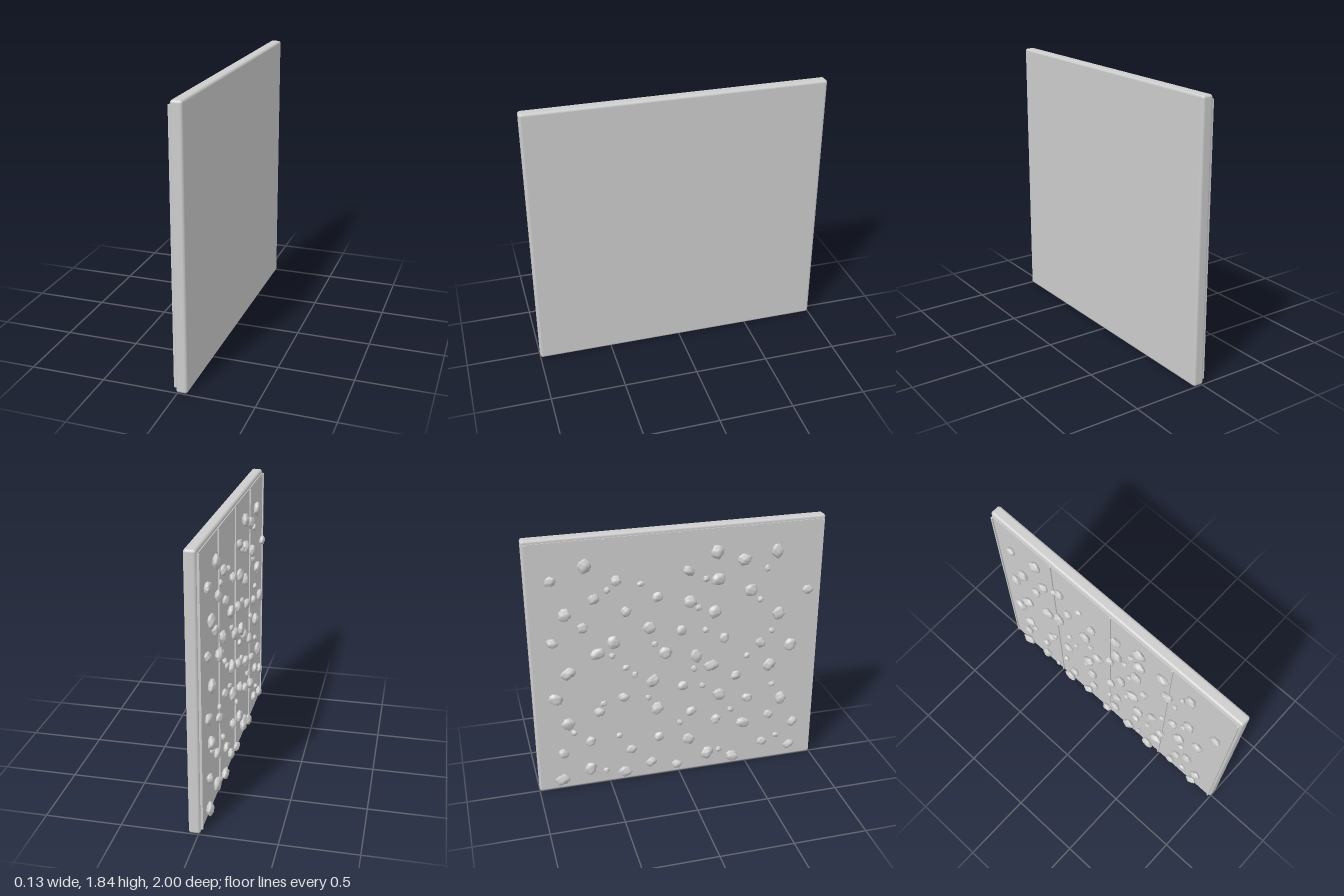
import * as THREE from 'three';
import { mergeVertices } from 'three/addons/utils/BufferGeometryUtils.js';
import { RoundedBoxGeometry } from 'three/addons/geometries/RoundedBoxGeometry.js';

// hold centres on the wall, as [z, y], grouped by size
const LARGE = [
  [.66, 1.63], [.25, 1.66], [.44, 1.59], [.26, 1.47], [.49, 1.37], [.69, 1.18], [-.62, 1.65], [.07, 1.33],
  [.24, 1.24], [.79, .93], [-.21, 1.18], [.64, .79], [-.76, 1.33], [-.45, 1.1], [-.1, .98], [.11, .93],
  [.22, .84], [.74, .51], [-.56, 1.03], [-.19, .78], [.28, .61], [-.76, .91], [-.16, .56], [.46, .35],
  [-.85, .73], [.06, .28], [.2, .14], [.39, .08], [-.78, .53], [-.64, .15], [-.4, .085], [-.84, .09],
];
const MEDIUM = [
  [.89, 1.33], [.06, 1.55], [-.42, 1.53], [-.15, 1.39], [.57, .97], [-.84, 1.57], [-.57, 1.42], [-.36, 1.31],
  [.01, 1.13], [.31, 1.04], [-.65, 1.23], [.4, .74], [-.85, 1.14], [.02, .71], [.49, .55], [.65, .39],
  [.84, .3], [-.39, .68], [.08, .5], [.26, .41], [.61, .17], [.82, .11], [-.56, .59], [-.15, .33],
  [-.63, .37], [-.35, .26], [-.21, .13], [-.02, .08], [-.82, .3],
];
const SMALL = [
  [.6, 1.51], [.18, 1.48], [.56, 1.29], [-.26, 1.49], [.13, 1.28], [.65, 1.05], [-.48, 1.47], [.18, 1.11],
  [.48, .88], [-.17, 1.05], [.1, .83], [.67, .63], [-.46, 1], [-.37, .9], [-.31, .84], [.16, .69],
  [.37, .47], [-.22, .65], [.72, .2], [-.53, .65], [0, .42], [.29, .15], [-.74, .45], [-.43, .38], [-.53, .11],
];

let seed = 11;
const rand = () => (seed = (seed * 16807) % 2147483647) / 2147483647;

// lumpy stone: a sphere pushed in and out by a few waves
function stoneGeometry(phase) {
  let g = new THREE.IcosahedronGeometry(1, 3);
  g.deleteAttribute('normal');
  g.deleteAttribute('uv');
  g = mergeVertices(g);
  const p = g.attributes.position;
  const v = new THREE.Vector3();
  for (let i = 0; i < p.count; i++) {
    v.fromBufferAttribute(p, i);
    const lump = Math.sin(3 * v.x + 2 * v.y + phase) * Math.cos(3 * v.z - 2 * v.y + 2 * phase);
    const ridge = Math.abs(Math.sin(4 * v.y + 3 * v.z + phase));
    v.multiplyScalar(0.94 + 0.12 * lump - 0.12 * ridge);
    p.setXYZ(i, v.x, v.y, v.z);
  }
  g.computeVertexNormals();
  return g;
}

export function createModel() {
  const model = new THREE.Group();
  const grey = new THREE.MeshStandardMaterial({ color: 0xcccccc });
  grey.name = 'plain grey';

  const add = (parent, name, geometry, x, y, z) => {
    const mesh = new THREE.Mesh(geometry, grey);
    mesh.name = name;
    mesh.position.set(x, y, z);
    parent.add(mesh);
    return mesh;
  };

  // thick backing slab with rounded edges
  add(model, 'backingSlab', new RoundedBoxGeometry(0.076, 1.84, 2, 4, 0.018), 0.026, 0.92, 0);

  // four climbing panels
  for (let i = 0; i < 4; i++) {
    add(model, 'wallPanel', new THREE.BoxGeometry(0.012, 1.79, 0.49), -0.012, 0.92, -0.735 + i * 0.49);
  }

  // raised vertical strips at the seams and both edges
  for (let i = 0; i < 5; i++) {
    add(model, 'seamStrip', new THREE.BoxGeometry(0.018, 1.78, 0.012), -0.018, 0.92, -0.98 + i * 0.49);
  }

  // stone holds
  const holds = new THREE.Group();
  holds.name = 'climbingHolds';
  model.add(holds);
  const stones = [0.4, 1.7, 2.9, 4.1, 5.3].map(stoneGeometry);
  const addHolds = (name, spots, depth, radius) => spots.forEach(([z, y], i) => {
    const hold = add(holds, name, stones[i % stones.length], -0.016 - depth * 0.87, y, z);
    const stretch = 0.9 + 0.25 * rand();
    hold.scale.set(depth, radius / stretch, radius * stretch);
    hold.rotation.x = (rand() - 0.5) * 1.6;
  });
  addHolds('largeHold', LARGE, 0.0265, 0.05);
  addHolds('mediumHold', MEDIUM, 0.024, 0.04);
  addHolds('smallHold', SMALL, 0.017, 0.025);

  return model;
}
